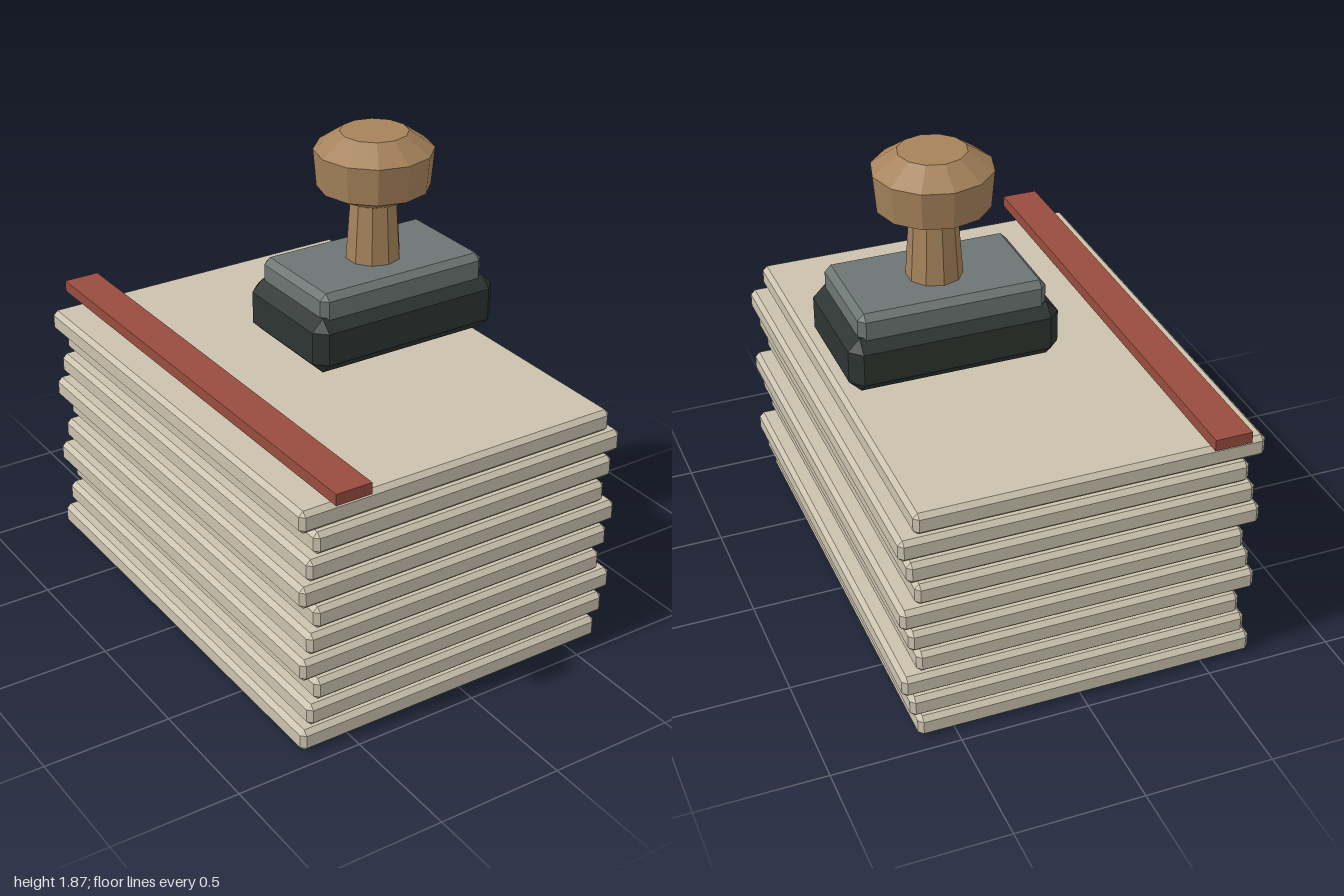
import * as THREE from 'three';
import { ConvexGeometry } from 'three/addons/geometries/ConvexGeometry.js';

const material = (color) => new THREE.MeshStandardMaterial({ color, flatShading: true });
const paper = material(0xcbc2ae);
const red = material(0x984c3e);
const rubber = material(0x2d3431);
const metal = material(0x6c7673);
const wood = material(0xa5825a);

// Box with every edge and corner cut flat by c
function chamferBox(w, h, d, c) {
  const points = [];
  for (const sx of [-1, 1]) for (const sy of [-1, 1]) for (const sz of [-1, 1]) {
    for (let axis = 0; axis < 3; axis++) {
      const inset = [c, c, c];
      inset[axis] = 0;
      points.push(new THREE.Vector3(
        sx * (w / 2 - inset[0]), sy * (h / 2 - inset[1]), sz * (d / 2 - inset[2])));
    }
  }
  return new ConvexGeometry(points);
}

function addPart(parent, name, geometry, mat, x, y, z) {
  const mesh = new THREE.Mesh(geometry, mat);
  mesh.name = name;
  mesh.position.set(x, y, z);
  parent.add(mesh);
  return mesh;
}

export function createModel() {
  const model = new THREE.Group();
  model.name = 'paperStackWithStamp';

  // Stack of ten thick bundles, shifted sideways in a repeating pattern
  const stack = new THREE.Group();
  stack.name = 'paperStack';
  model.add(stack);
  const height = 0.088, pitch = 0.1006;
  const bundle = chamferBox(1.34, height, 1.875, 0.018);
  for (let i = 0; i < 10; i++) {
    addPart(stack, `paperBundle${i + 1}`, bundle, paper,
      -0.03 + 0.0285 * (i % 3), height / 2 + i * pitch, 0);
  }

  // Flat ribbon over the top
  addPart(model, 'ribbon', new THREE.BoxGeometry(0.145, 0.045, 2), red, -0.53, 1.05, 0);

  // Hand stamp
  const stamp = new THREE.Group();
  stamp.name = 'stamp';
  stamp.position.set(0.22, 0, 0);
  model.add(stamp);
  addPart(stamp, 'stampBase', chamferBox(0.82, 0.22, 0.515, 0.046), rubber, 0, 1.163, 0);
  addPart(stamp, 'stampPlate', chamferBox(0.73, 0.125, 0.44, 0.025), metal, 0, 1.3, 0);
  addPart(stamp, 'handleStem', new THREE.CylinderGeometry(0.09, 0.108, 0.27, 10), wood, 0, 1.485, 0);

  // Faceted knob
  const profile = [[0, 1.595], [0.1, 1.595], [0.215, 1.652], [0.228, 1.797], [0.13, 1.865], [0, 1.865]]
    .map(([r, y]) => new THREE.Vector2(r, y));
  addPart(stamp, 'handleKnob', new THREE.LatheGeometry(profile, 12), wood, 0, 0, 0);

  return model;
}
